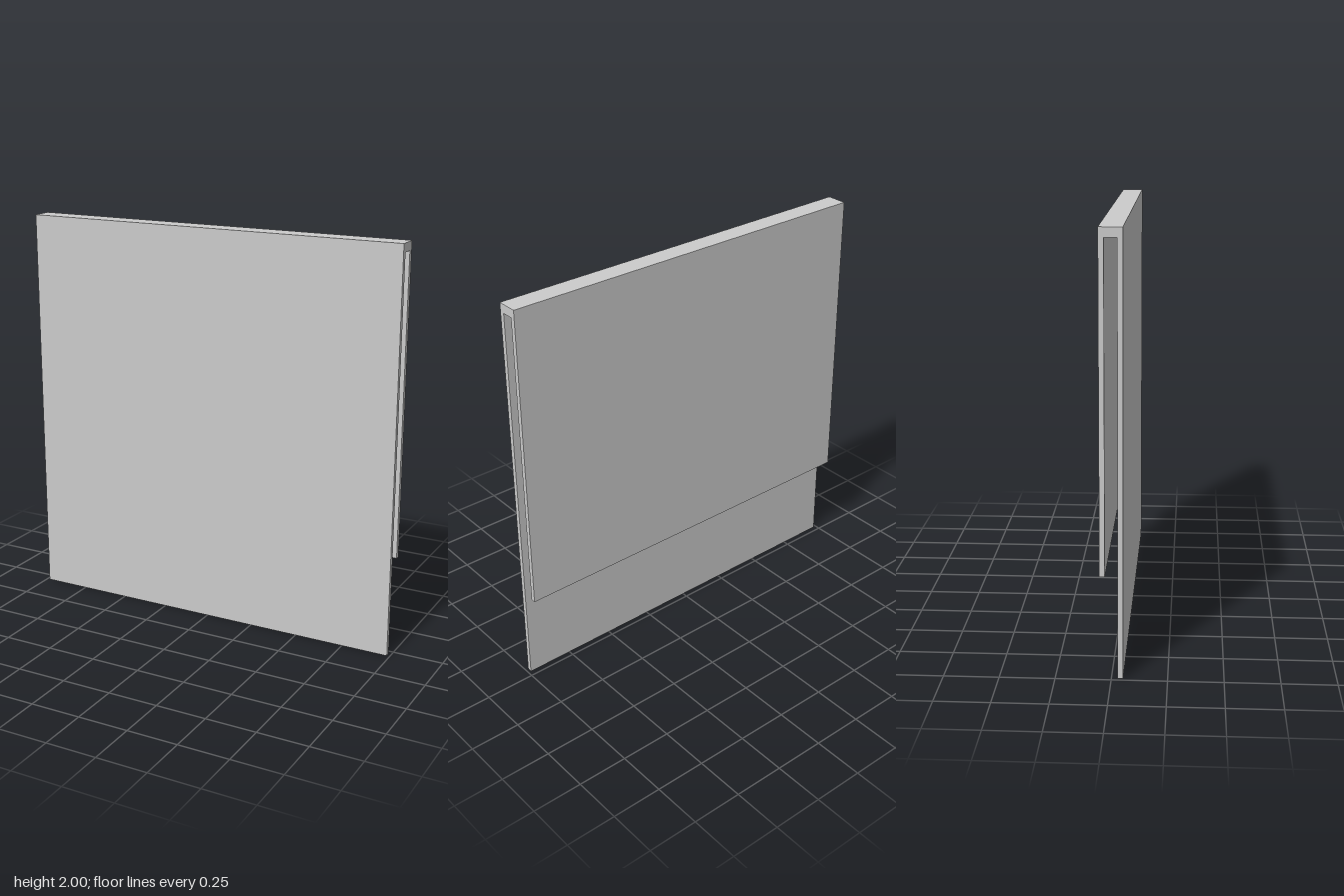
import * as THREE from 'three';

const WIDTH = 1.97;   // along x
const OUT = 0.052;    // outer face of the panels
const IN = 0.028;     // inner face of the panels
const GAP_TOP = 1.957; // underside of the top rail
const SEAM = 1.97;    // where the back panel meets the rail

export function createModel() {
  const group = new THREE.Group();
  const material = new THREE.MeshStandardMaterial({ color: 0xcccccc, flatShading: true });

  const add = (name, geometry) => {
    const mesh = new THREE.Mesh(geometry, material);
    mesh.name = name;
    group.add(mesh);
    return mesh;
  };

  const panel = (name, bottom, top, z) =>
    add(name, new THREE.BoxGeometry(WIDTH, top - bottom, OUT - IN))
      .position.set(0, (bottom + top) / 2, z);

  // Tall front panel and shorter back panel
  const mid = (OUT + IN) / 2;
  panel('frontPanel', 0, 2, mid);
  panel('backPanel', 0.478, SEAM, -mid);

  // Top rail: bridges the panels, stepped to rest on the back panel
  const profile = new THREE.Shape([
    [IN, GAP_TOP], [IN, 2], [-OUT, 2], [-OUT, SEAM], [-IN, SEAM], [-IN, GAP_TOP],
  ].map(([z, y]) => new THREE.Vector2(-z, y)));
  const rail = new THREE.ExtrudeGeometry(profile, { depth: WIDTH, bevelEnabled: false });
  rail.translate(0, 0, -WIDTH / 2).rotateY(Math.PI / 2);
  add('topRail', rail);

  return group;
}
